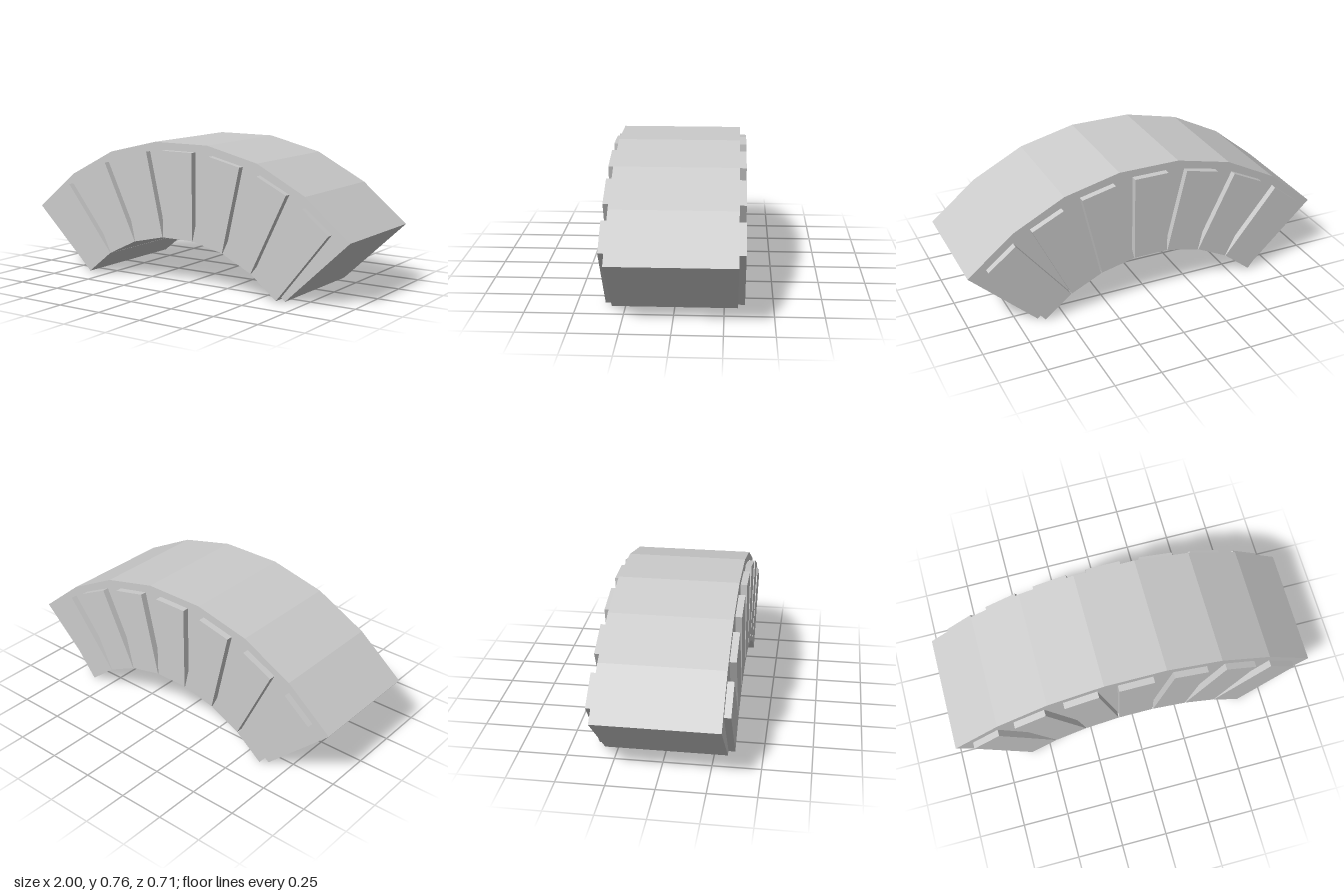
import * as THREE from 'three';

const material = new THREE.MeshStandardMaterial({ color: 0xcccccc, flatShading: true });

export function createModel() {
  const model = new THREE.Group();
  model.name = 'stoneArch';

  // Faceted arch body: right half of each curve, mirrored to the left
  const outer = [[0.167, 0.759], [0.471, 0.687], [0.75, 0.543], [1, 0.338]];
  const inner = [[0.642, 0], [0.465, 0.134], [0.29, 0.217], [0.099, 0.258]];
  const half = [...outer, ...inner];
  const mirrored = half.map(([x, y]) => [-x, y]).reverse();
  const shape = new THREE.Shape([...half, ...mirrored].map(([x, y]) => new THREE.Vector2(x, y)));
  const bodyDepth = 0.64;
  const bodyGeometry = new THREE.ExtrudeGeometry(shape, { depth: bodyDepth, bevelEnabled: false });
  bodyGeometry.translate(0, 0, -bodyDepth / 2);
  const body = new THREE.Mesh(bodyGeometry, material);
  body.name = 'archBody';
  model.add(body);

  // Seven blocks run through the body and stand proud of both faces
  const centreY = -0.6, innerRadius = 0.854, outerRadius = 1.319;
  const step = THREE.MathUtils.degToRad(12.93);
  const blockGeometry = new THREE.BoxGeometry(0.19, outerRadius - innerRadius, 0.71);
  const middle = (innerRadius + outerRadius) / 2;
  for (let i = -3; i <= 3; i++) {
    const angle = i * step;
    const block = new THREE.Mesh(blockGeometry, material);
    block.name = i === 0 ? 'keystone' : 'archBlock';
    block.position.set(Math.sin(angle) * middle, centreY + Math.cos(angle) * middle, 0);
    block.rotation.z = -angle;
    model.add(block);
  }
  return model;
}
